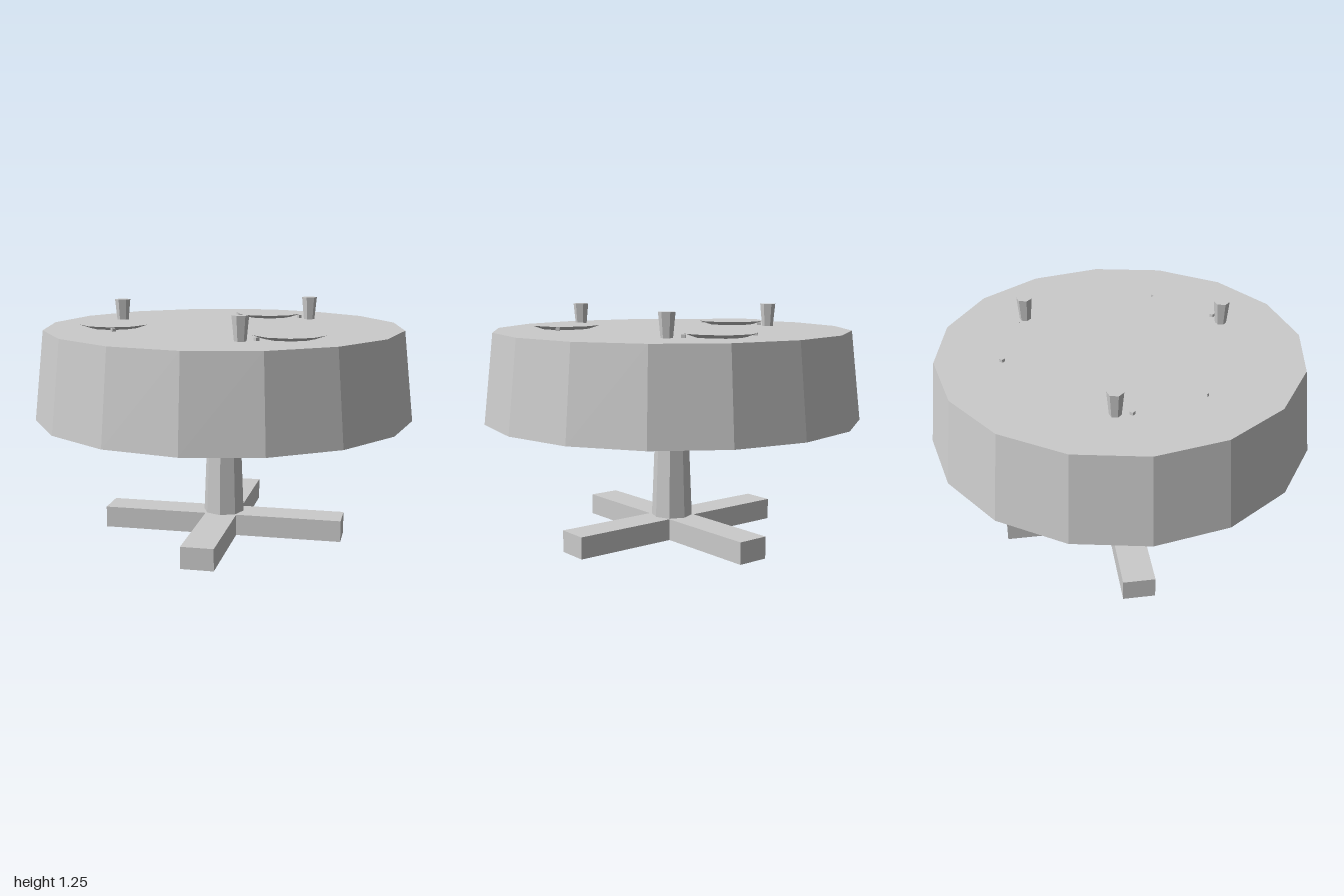
import * as THREE from 'three';

export function createModel() {
  const model = new THREE.Group();
  model.name = 'diningTable';
  const material = new THREE.MeshStandardMaterial({ color: 0xcccccc, flatShading: true });

  const add = (name, geometry, x, y, z) => {
    const mesh = new THREE.Mesh(geometry, material);
    mesh.name = name;
    mesh.position.set(x, y, z);
    model.add(mesh);
    return mesh;
  };

  // Tapered cylinder standing between two heights
  const drum = (name, rTop, rBottom, y0, y1, sides, x = 0, z = 0) =>
    add(name, new THREE.CylinderGeometry(rTop, rBottom, y1 - y0, sides), x, (y0 + y1) / 2, z);

  // Crossed feet, turned 45 degrees
  for (const side of [-1, 1]) {
    const foot = add('crossFoot', new THREE.BoxGeometry(1.3, 0.115, 0.17), 0, 0.0575, 0);
    foot.rotation.y = side * Math.PI / 4;
  }

  // Central column and cloth-covered top
  drum('column', 0.088, 0.11, 0.115, 0.657, 8);
  drum('clothCoveredTop', 0.947, 1, 0.657, 1.127, 16);

  // Three place settings around the table
  const top = 1.127;
  const up = new THREE.Vector3(0, 1, 0);
  for (let i = 0; i < 3; i++) {
    const place = (x, z) => new THREE.Vector3(x, 0, z).applyAxisAngle(up, i * Math.PI * 2 / 3);

    const plate = place(0, 0.577);
    drum('plate', 0.187, 0.13, top, 1.147, 10, plate.x, plate.z);

    const cup = place(-0.265, 0.545);
    drum('cup', 0.042, 0.03, top, 1.25, 6, cup.x, cup.z);

    // Small pieces at both sides of the plate
    for (const side of [-1, 1]) {
      const p = place(side * 0.192, 0.575);
      add('tableware', new THREE.BoxGeometry(0.02, 0.016, 0.02), p.x, top + 0.008, p.z);
    }
  }
  return model;
}
